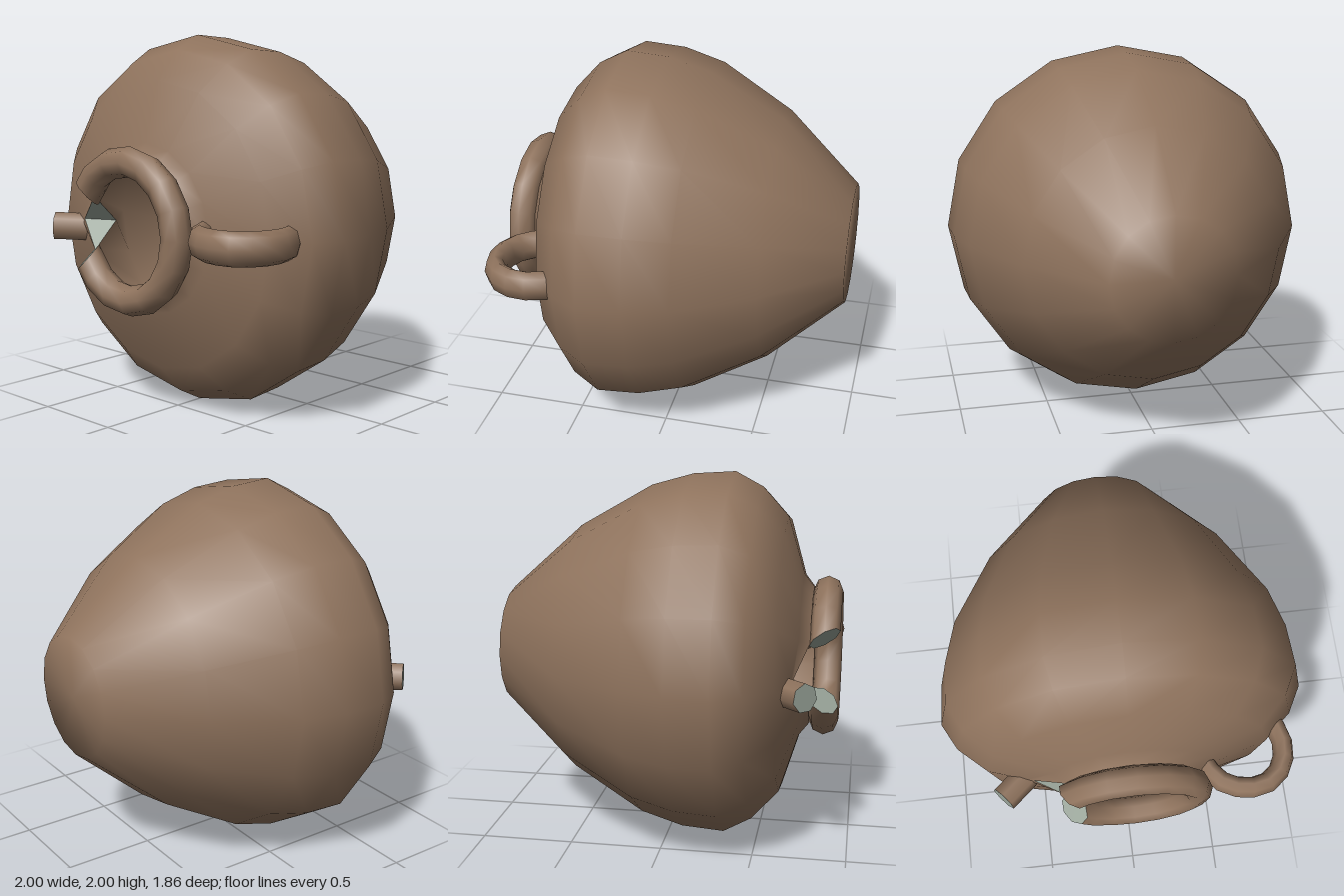
import * as THREE from 'three';

const SIDES = 16;
const clay = new THREE.MeshStandardMaterial({ color: 0x8f735d });
clay.name = 'brown clay';
const raw = new THREE.MeshStandardMaterial({ color: 0x98a398 });
raw.name = 'pale broken clay';

function mesh(name, geometry, material) {
  const m = new THREE.Mesh(geometry, material);
  m.name = name;
  return m;
}

function faces(points, index) {
  const g = new THREE.BufferGeometry();
  g.setAttribute('position', new THREE.Float32BufferAttribute(points.flat(), 3));
  g.setIndex(index);
  return g;
}

// Rings [z, radius] around the z axis; notch(i) may give [z, radius] for the chipped vertex
function turned(profile, notch = {}) {
  const points = [], index = [];
  profile.forEach((ring, i) => {
    for (let j = 0; j < SIDES; j++) {
      const [z, r] = j === SIDES / 2 && notch[i] ? notch[i] : ring;
      const a = (j / SIDES) * Math.PI * 2;
      points.push([r * Math.cos(a), r * Math.sin(a), z]);
    }
    if (i === 0) return;
    for (let j = 0; j < SIDES; j++) {
      const k = (j + 1) % SIDES, lo = (i - 1) * SIDES, hi = i * SIDES;
      index.push(lo + j, lo + k, hi + k, lo + j, hi + k, hi + j);
    }
  });
  const g = faces(points, index);
  g.computeVertexNormals();
  return g;
}

// Tube along points; broken ends get a pale cap, slanted towards the front by slant
function tube(name, pts, radius, segments, sides, { start = false, end = false, slant = 0, tall = 1 } = {}) {
  const group = new THREE.Group();
  group.name = name;
  const curve = new THREE.CatmullRomCurve3(pts.map(p => new THREE.Vector3(...p)));
  const g = new THREE.TubeGeometry(curve, segments, radius, sides);
  const pos = g.attributes.position;
  const caps = [];
  const v = new THREE.Vector3();
  for (const atEnd of [false, true]) {
    if (!(atEnd ? end : start)) continue;
    const c = curve.getPoint(atEnd ? 1 : 0);
    const out = curve.getTangent(atEnd ? 1 : 0).multiplyScalar(atEnd ? 1 : -1);
    const first = (atEnd ? segments : 0) * (sides + 1);
    const rim = [c.toArray()];
    for (let j = 0; j <= sides; j++) {
      v.fromBufferAttribute(pos, first + j);
      v.addScaledVector(out, -slant * (v.z - c.z));
      pos.setXYZ(first + j, v.x, v.y, v.z);
      rim.push(v.toArray());
    }
    // Pick the corner order that faces outwards
    const e1 = new THREE.Vector3(...rim[1]).sub(c), e2 = new THREE.Vector3(...rim[2]).sub(c);
    const ccw = e1.cross(e2).dot(out) > 0;
    const index = [];
    for (let j = 1; j <= sides; j++) index.push(0, ccw ? j : j + 1, ccw ? j + 1 : j);
    const cap = faces(rim, index);
    cap.computeVertexNormals();
    caps.push(mesh('brokenEnd', cap, raw));
  }
  g.scale(1, tall, 1);
  group.add(mesh(name + 'Tube', g, clay), ...caps);
  return group;
}

export function createModel() {
  const model = new THREE.Group();
  model.name = 'brokenPot';
  const pot = new THREE.Group();
  pot.name = 'pot';
  pot.position.y = 1;
  model.add(pot);

  // Outer body lying on its side, with one rim vertex chipped away
  const apex = [0.7, 0.52];
  const body = [[-0.93, 0], [-0.93, 0.33], [-0.53, 0.69], [-0.13, 0.92], [0.1, 0.985],
    [0.33, 1], [0.48, 0.92], [0.62, 0.765], [0.715, 0.45], [0.77, 0.38]];
  pot.add(mesh('body', turned(body, { 8: [0.69, 0.56], 9: apex }), clay));

  // Hollow inside
  const bottom = [0.62, 0.35];
  const hollow = [[0.77, 0.38], [0.35, 0.6], [-0.35, 0.5], [-0.7, 0.3], [-0.7, 0]];
  pot.add(mesh('inside', turned(hollow, { 0: bottom }), clay));

  // Exposed break between the outer and inner walls
  const a = Math.PI / 8, x = -0.38 * Math.cos(a), y = 0.38 * Math.sin(a);
  const A = [x, y, 0.77], B = [x, -y, 0.77], tip = [-apex[1], 0, apex[0]], low = [-bottom[1], 0, bottom[0]];
  const chip = faces([A, tip, low, tip, B, low], [0, 1, 2, 3, 4, 5]);
  chip.computeVertexNormals();
  const chipMesh = mesh('chippedWall', chip, raw);
  pot.add(chipMesh);

  // Rolled lip with a gap at the chip
  const lip = [];
  for (let i = 0; i <= 14; i++) {
    const t = (-152 + (304 * i) / 14) * Math.PI / 180;
    lip.push([0.36 * Math.cos(t), 0.36 * Math.sin(t), 0.845]);
  }
  pot.add(tube('lip', lip, 0.08, 14, 8, { start: true, end: true, slant: 0.6 }));

  // Whole handle on the left
  const handle = [[0.4, 0, 0.68], [0.46, 0, 0.79], [0.54, 0, 0.85], [0.62, 0, 0.868], [0.7, 0, 0.868],
    [0.79, 0, 0.82], [0.847, 0, 0.72], [0.847, 0, 0.6], [0.79, 0, 0.48]];
  pot.add(tube('handle', handle, 0.057, 10, 8, { tall: 1.5 }));

  // Snapped-off handle stub on the right
  const stub = [[-0.5, -0.06, 0.6], [-0.6, -0.055, 0.685], [-0.695, -0.05, 0.77]];
  pot.add(tube('handleStub', stub, 0.077, 2, 7, { end: true }));

  return model;
}
